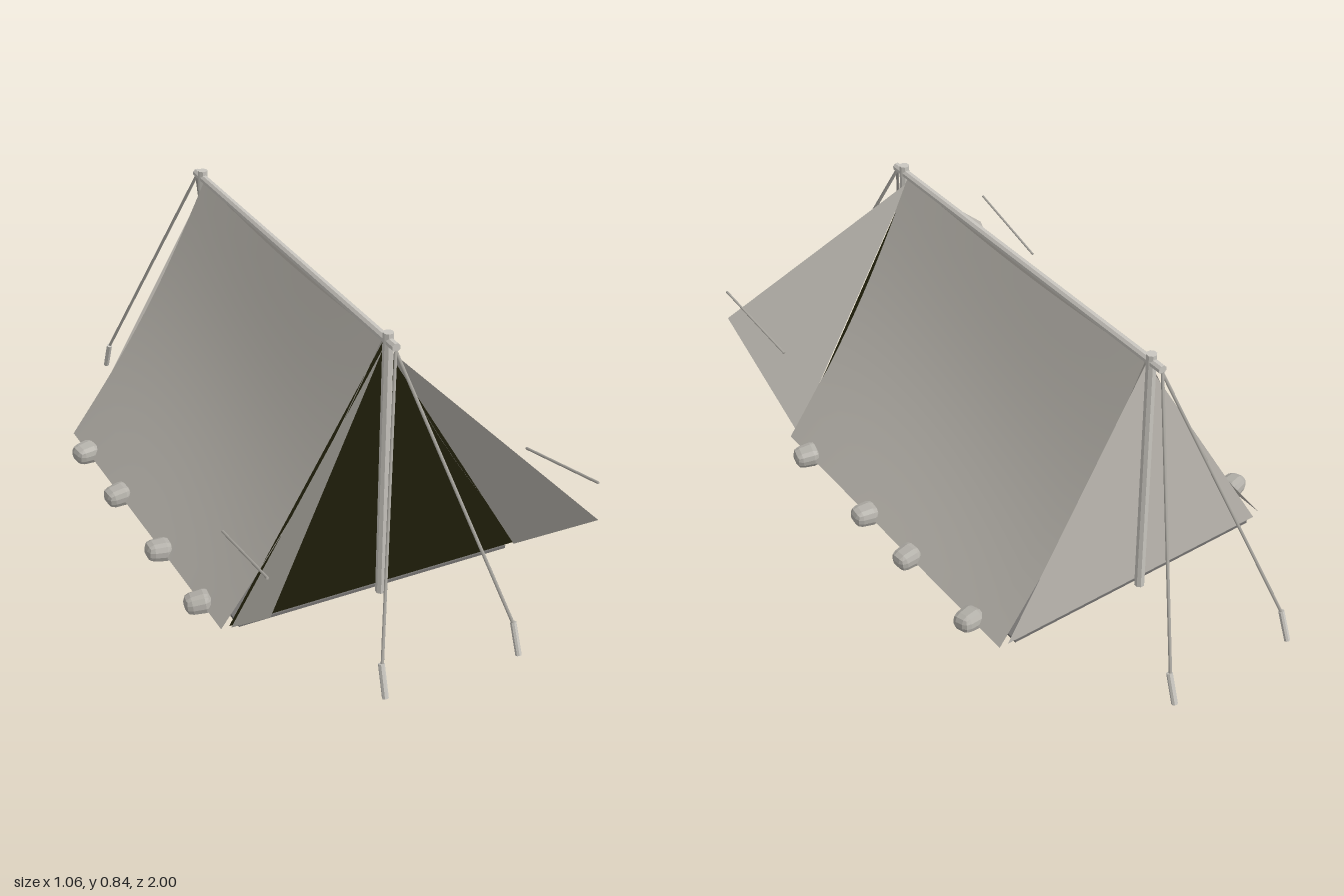
import * as THREE from 'three';
import { RoundedBoxGeometry } from 'three/addons/geometries/RoundedBoxGeometry.js';

const mat = (name, color, extra = {}) => {
  const m = new THREE.MeshStandardMaterial({ color, ...extra });
  m.name = name;
  return m;
};

export function createModel() {
  const group = new THREE.Group();
  group.name = 'ridgeTent';

  const canvas = mat('canvas', 0xc0bcb4, { side: THREE.DoubleSide });
  const dark = mat('darkInterior', 0x1f1e0a, { side: THREE.DoubleSide });
  const wood = mat('pole', 0xcac7c0, { flatShading: true });
  const rope = mat('rope', 0xaaa7a0);
  const stone = mat('stone', 0xb4b1aa, { flatShading: true });
  const floorMat = mat('groundSheet', 0x747270);

  const add = (name, geometry, material) => {
    const mesh = new THREE.Mesh(geometry, material);
    mesh.name = name;
    group.add(mesh);
    return mesh;
  };

  // Straight round bar between two points
  const bar = (name, a, b, r, sides, material) => {
    const from = new THREE.Vector3(...a), to = new THREE.Vector3(...b);
    const dir = to.clone().sub(from);
    const mesh = add(name, new THREE.CylinderGeometry(r, r, dir.length(), sides), material);
    mesh.position.copy(from).add(to).multiplyScalar(0.5);
    mesh.quaternion.setFromUnitVectors(new THREE.Vector3(0, 1, 0), dir.normalize());
    // Turn the bar so that a flat side faces forwards
    mesh.rotateY(Math.PI / sides);
  };

  // Flat triangle of cloth
  const triangle = (name, points, material) => {
    const g = new THREE.BufferGeometry();
    g.setAttribute('position', new THREE.Float32BufferAttribute(points.flat(), 3));
    g.computeVertexNormals();
    add(name, g, material);
  };

  // Roof slopes: a grid that hangs from the ridge and sags inwards
  const slope = (side) => {
    const g = new THREE.PlaneGeometry(1, 1, 16, 16);
    const p = g.attributes.position;
    for (let i = 0; i < p.count; i++) {
      const z = -side * p.getX(i) * 1.14;
      const t = 0.5 - p.getY(i);
      const mid = Math.cos((z / 1.14) * Math.PI);
      const sag = Math.sin(Math.PI * t) * (0.028 + 0.01 * mid);
      const top = 0.81 - 0.02 * mid;
      p.setXYZ(i, side * (0.004 + 0.474 * t - sag * 0.85), top + (0.03 - top) * t - sag * 0.5, z);
    }
    g.computeVertexNormals();
    return g;
  };

  for (const s of [-1, 1]) {
    const label = s > 0 ? 'left' : 'right';
    add(label + 'Slope', slope(s), canvas);

    // Door flap held open, with its short tie
    triangle(label + 'DoorFlap', [[0, 0.79, 0.575], [s * 0.45, 0.03, 0.575], [s * 0.49, 0.3, 0.905]], canvas);
    bar(label + 'FlapTie', [s * 0.49, 0.41, 0.89], [s * 0.47, 0.35, 0.575], 0.004, 6, rope);

    // Guy ropes and pegs at both ends
    for (const e of [-1, 1]) {
      bar('guyRope', [0, 0.805, e * 0.635], [s * 0.2, 0.085, e * 0.965], 0.005, 6, rope);
      bar('peg', [s * 0.2, 0.093, e * 0.96], [s * 0.203, 0.004, e * 0.992], 0.009, 8, wood);
    }
  }

  // Seam of cloth hanging below the ridge pole
  const seam = new THREE.Shape([[-0.57, 0.81], [0.57, 0.81], [0.3, 0.79], [0, 0.783], [-0.3, 0.79]]
    .map(([z, y]) => new THREE.Vector2(z, y)));
  add('ridgeSeam', new THREE.ShapeGeometry(seam), canvas).rotation.y = -Math.PI / 2;

  // Closed back and dark doorway
  triangle('backPanel', [[0, 0.8, -0.57], [0.45, 0.03, -0.57], [-0.45, 0.03, -0.57]], canvas);
  triangle('doorway', [[0, 0.8, 0.567], [-0.453, 0.03, 0.567], [0.453, 0.03, 0.567]], dark);

  // Ground sheet
  add('groundSheet', new THREE.BoxGeometry(0.85, 0.008, 1.14), floorMat).position.y = 0.024;

  // Ridge pole and uprights
  bar('ridgePole', [0, 0.815, -0.635], [0, 0.815, 0.638], 0.013, 8, wood);
  bar('frontPole', [0, 0.02, 0.594], [0, 0.84, 0.594], 0.015, 8, wood);
  bar('backPole', [0, 0.02, -0.588], [0, 0.84, -0.588], 0.015, 8, wood);

  // Stones weighing down the hems
  const rows = [[1, [0.45, 0.11, -0.12, -0.435]], [-1, [0.44, 0.16, -0.16, -0.43]]];
  for (const [s, zs] of rows) {
    zs.forEach((z, i) => {
      const g = new RoundedBoxGeometry(0.076, 0.056, 0.068, 1, 0.02);
      const p = g.attributes.position;
      // Taper outwards for an irregular shape
      for (let k = 0; k < p.count; k++) {
        const f = 1 - p.getX(k) * 3;
        p.setXYZ(k, p.getX(k), p.getY(k) * f, p.getZ(k) * f);
      }
      const m = add('stone', g, stone);
      m.position.set(s * 0.49, 0.038, z);
      m.rotation.set(0.1 * (i - 1.5), (s > 0 ? 0 : Math.PI) + 0.15 * (i - 1.5), 0.08 * (i % 2 ? 1 : -1));
    });
  }

  return group;
}
